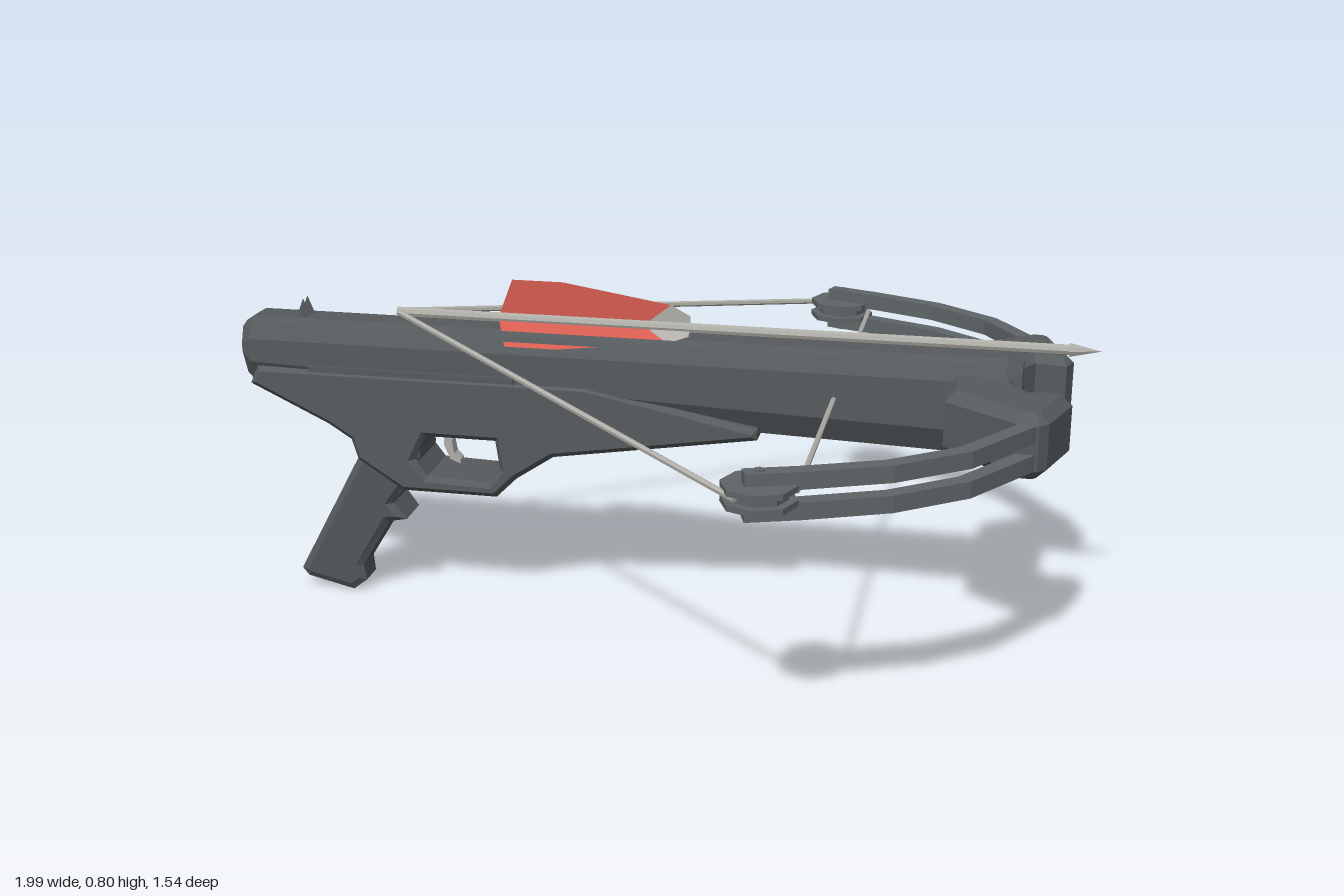
import * as THREE from 'three';

const mat = (name, color, side = THREE.FrontSide) =>
  new THREE.MeshStandardMaterial({ name, color, side, flatShading: true });

export function createModel() {
  const model = new THREE.Group();
  model.name = 'pistolCrossbow';
  const body = mat('dark grey', 0x565b5e);
  const limbGrey = mat('limb grey', 0x5f6568);
  const metal = mat('light metal', 0xb0aea8, THREE.DoubleSide);
  const red = mat('red', 0xd55b50, THREE.DoubleSide);

  const add = (name, geometry, material, parent = model) => {
    const mesh = new THREE.Mesh(geometry, material);
    mesh.name = name;
    parent.add(mesh);
    return mesh;
  };
  const toShape = pts => new THREE.Shape(pts.map(p => new THREE.Vector2(...p)));

  // bevelled plate whose full thickness is centred on z = 0
  const plate = (shape, thickness, bevel) => {
    const g = new THREE.ExtrudeGeometry(shape, {
      depth: thickness - 2 * bevel, bevelEnabled: bevel > 0, bevelSegments: 1,
      bevelSize: bevel, bevelThickness: bevel, bevelOffset: -bevel, curveSegments: 4,
    });
    return g.translate(0, 0, -(thickness - 2 * bevel) / 2);
  };
  // plate lying flat, outline given in x and z
  const flatPlate = (pts, thickness, bevel, y) =>
    plate(toShape(pts.map(([x, z]) => [x, -z])), thickness, bevel).rotateX(-Math.PI / 2).translate(0, y, 0);

  const rod = (name, a, b, radius, material, sides = 6) => {
    const from = new THREE.Vector3(...a), dir = new THREE.Vector3(...b).sub(from);
    const mesh = add(name, new THREE.CylinderGeometry(radius, radius, dir.length(), sides), material);
    mesh.position.copy(from).addScaledVector(dir, 0.5);
    mesh.quaternion.setFromUnitVectors(new THREE.Vector3(0, 1, 0), dir.normalize());
    return mesh;
  };

  // closed skin through rings of equal point count, running along +x
  const loft = rings => {
    const n = rings[0].length, index = [];
    for (let i = 0; i < rings.length - 1; i++) {
      for (let j = 0; j < n; j++) {
        const a = i * n + j, b = i * n + (j + 1) % n;
        index.push(a, b, a + n, b, b + n, a + n);
      }
    }
    const last = (rings.length - 1) * n;
    for (let j = 1; j < n - 1; j++) index.push(0, j + 1, j, last, last + j, last + j + 1);
    const g = new THREE.BufferGeometry();
    g.setAttribute('position', new THREE.Float32BufferAttribute(rings.flat(2), 3));
    g.setIndex(index);
    const flat = g.toNonIndexed();
    flat.computeVertexNormals();
    return flat;
  };

  // barrel: chamfered section, slightly deeper toward the muzzle
  const barrelRing = ([x, bottom, top, w]) => {
    const half = [[top, 0.4], [top - 0.008, 0.78], [top - 0.045, 1], [bottom + 0.06, 1], [bottom, 0.6]];
    const left = half.map(([y, k]) => [x, y, k * w]);
    const right = half.map(([y, k]) => [x, y, -k * w]).reverse();
    return [...left, ...right];
  };
  add('barrel', loft([
    [-1, 0.55, 0.675, 0.065], [-0.975, 0.53, 0.69, 0.079], [0.24, 0.485, 0.69, 0.079],
    [0.79, 0.468, 0.69, 0.079], [0.825, 0.49, 0.675, 0.062],
  ].map(barrelRing)), body);

  // receiver with trigger opening
  const receiver = toShape([
    [-0.98, 0.535], [-0.79, 0.445], [-0.735, 0.41], [-0.72, 0.36], [-0.61, 0.29], [-0.38, 0.29],
    [-0.33, 0.34], [-0.24, 0.4], [0.24, 0.475], [0.24, 0.5], [-0.16, 0.58], [-0.96, 0.58],
  ]);
  receiver.holes.push(new THREE.Path([
    [-0.58, 0.37], [-0.55, 0.43], [-0.38, 0.43], [-0.37, 0.36], [-0.4, 0.325], [-0.55, 0.33],
  ].map(p => new THREE.Vector2(...p))));
  add('receiver', plate(receiver, 0.17, 0.012), body);

  // grip, narrowing toward its foot
  const grip = plate(toShape([
    [-0.735, 0.43], [-0.725, 0.36], [-0.895, 0.05], [-0.88, 0.03], [-0.765, 0.002], [-0.73, 0.03],
    [-0.735, 0.07], [-0.66, 0.195], [-0.615, 0.205], [-0.645, 0.245], [-0.6, 0.31], [-0.57, 0.37], [-0.57, 0.43],
  ]), 0.16, 0.016);
  const gp = grip.attributes.position;
  for (let i = 0; i < gp.count; i++) gp.setZ(i, gp.getZ(i) * (0.48 + 1.25 * gp.getY(i)));
  grip.computeVertexNormals();
  add('grip', grip, body);

  // trigger
  const trigger = toShape([
    [-0.52, 0.44], [-0.525, 0.39], [-0.51, 0.355], [-0.485, 0.345],
    [-0.485, 0.355], [-0.5, 0.37], [-0.505, 0.4], [-0.485, 0.44],
  ]);
  add('trigger', plate(trigger, 0.03, 0), metal);

  // riser holding both limbs
  const riserHalf = [
    [0.82, 0.09], [0.85, 0.135], [0.92, 0.125], [0.935, 0.16], [0.89, 0.295],
    [0.87, 0.315], [0.83, 0.315], [0.665, 0.19], [0.66, 0.09],
  ];
  const riserOutline = [...riserHalf, ...riserHalf.map(([x, z]) => [x, -z]).reverse()];
  add('riser', flatPlate(riserOutline, 0.15, 0.024, 0.582), body);

  const limbPath = [[0.87, 0.27], [0.84, 0.32], [0.73, 0.488], [0.588, 0.598], [0.42, 0.67], [0.31, 0.708]];
  for (const s of [1, -1]) {
    const side = s > 0 ? 'left' : 'right';
    // ribbon outline around the limb centre line
    const edge = d => limbPath.map(([x, z], i) => {
      const a = limbPath[Math.max(i - 1, 0)], b = limbPath[Math.min(i + 1, limbPath.length - 1)];
      const dx = b[0] - a[0], dz = b[1] - a[1], len = Math.hypot(dx, dz);
      return [x - dz / len * d, (z + dx / len * d) * s];
    });
    const ribbon = [...edge(0.018), ...edge(-0.018).reverse()];
    add(side + 'UpperLimb', flatPlate(ribbon, 0.037, 0, 0.615), limbGrey);
    add(side + 'LowerLimb', flatPlate(ribbon, 0.037, 0, 0.551), limbGrey);

    // cam wheel: two flanges and a hub
    for (const [r, h, y] of [[0.079, 0.013, 0.601], [0.06, 0.03, 0.585], [0.079, 0.013, 0.57]]) {
      const cam = add(side + 'Cam', new THREE.CylinderGeometry(r, r, h, 8), limbGrey);
      cam.position.set(0.34, y, 0.693 * s);
    }
    rod(side + 'CamAxle', [0.34, 0.53, 0.695 * s], [0.34, 0.637, 0.695 * s], 0.012, limbGrey);

    rod(side + 'String', [-0.62, 0.71, 0.012 * s], [0.3, 0.588, 0.745 * s], 0.007, metal);

    // raised side rib and rear sight post
    add(side + 'Rib', new THREE.BoxGeometry(0.5, 0.014, 0.012), body).position.set(-0.58, 0.582, 0.081 * s);
    const post = add(side + 'SightPost', new THREE.ConeGeometry(0.02, 0.05, 4), body);
    post.position.set(-0.86, 0.708, 0.014 * s);
  }
  rod('cable', [0.412, 0.586, -0.67], [0.412, 0.586, 0.67], 0.006, metal);

  // bolt with three vanes
  rod('boltShaft', [-0.63, 0.71, 0], [0.94, 0.71, 0], 0.012, metal, 8);
  const tip = add('boltTip', new THREE.ConeGeometry(0.016, 0.07, 8), metal);
  tip.rotation.z = -Math.PI / 2;
  tip.position.set(0.957, 0.71, 0);
  const vaneShape = toShape([[-0.385, 0], [-0.35, 0.092], [-0.23, 0.092], [0.025, 0.052], [-0.04, 0]]);
  const vaneTipShape = toShape([[-0.04, 0], [0.025, 0.052], [0.07, 0.028], [0.07, 0]]);
  for (let i = 0; i < 3; i++) {
    const vane = new THREE.Group();
    vane.name = 'vane' + (i + 1);
    vane.position.y = 0.71;
    vane.rotation.x = i * Math.PI * 2 / 3;
    add('vaneBlade', new THREE.ShapeGeometry(vaneShape), red, vane);
    add('vaneTip', new THREE.ShapeGeometry(vaneTipShape), metal, vane);
    model.add(vane);
  }
  return model;
}
